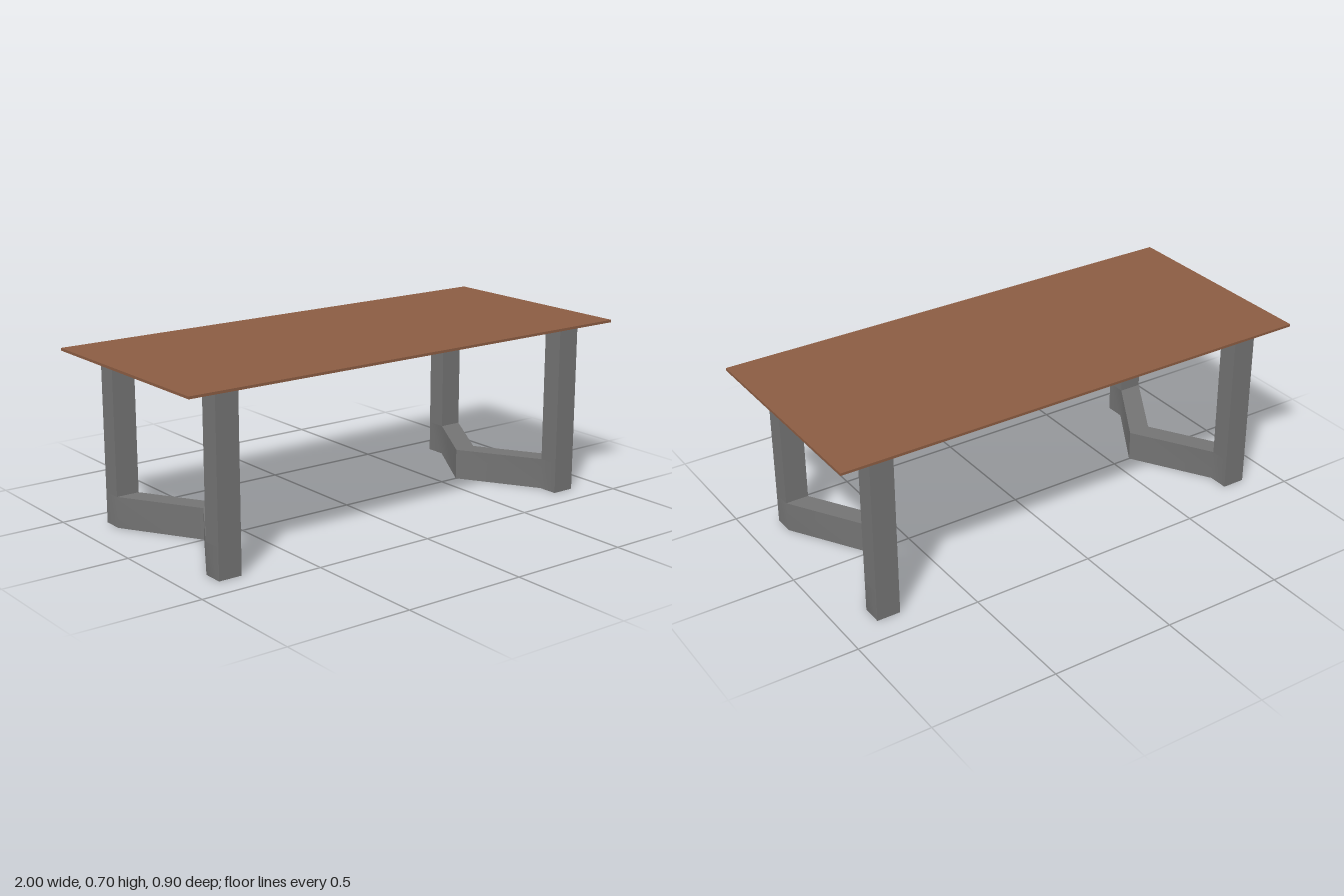
import * as THREE from 'three';
import { toCreasedNormals } from 'three/addons/utils/BufferGeometryUtils.js';

const wood = new THREE.MeshStandardMaterial({ color: 0x8b5c42 });
wood.name = 'brown wood';
const metal = new THREE.MeshStandardMaterial({ color: 0x737373 });
metal.name = 'grey metal';

const OUT = 0.863, IN = 0.768;          // outer and inner x of the posts
const Z_OUT = 0.395, Z_IN = 0.313;      // outer and inner z of the posts
const BEND = 0.19;                      // how far the foot beam bends inward
const BEAM_H = 0.125, TOP_Y = 0.692, TOP_T = 0.01;

function box(name, material, x0, x1, y0, y1, z0, z1) {
  const mesh = new THREE.Mesh(new THREE.BoxGeometry(x1 - x0, y1 - y0, z1 - z0), material);
  mesh.position.set((x0 + x1) / 2, (y0 + y1) / 2, (z0 + z1) / 2);
  mesh.name = name;
  return mesh;
}

function createLegFrame(name) {
  const frame = new THREE.Group();
  frame.name = name;

  // Chevron foot beam, drawn in plan and extruded upward
  const plan = new THREE.Shape([
    [OUT, -Z_OUT], [OUT, -Z_IN], [OUT - BEND, 0], [OUT, Z_IN], [OUT, Z_OUT],
    [IN, Z_OUT], [IN, Z_IN], [IN - BEND, 0], [IN, -Z_IN], [IN, -Z_OUT],
  ].map(([x, z]) => new THREE.Vector2(x, z)));
  const geometry = new THREE.ExtrudeGeometry(plan, { depth: BEAM_H, bevelEnabled: false });
  geometry.rotateX(-Math.PI / 2);
  const beam = new THREE.Mesh(toCreasedNormals(geometry, 0.7), metal);
  beam.name = 'footBeam';
  frame.add(beam);

  // Posts standing on the beam ends
  frame.add(box('frontPost', metal, IN, OUT, BEAM_H, TOP_Y, Z_IN, Z_OUT));
  frame.add(box('backPost', metal, IN, OUT, BEAM_H, TOP_Y, -Z_OUT, -Z_IN));
  return frame;
}

export function createModel() {
  const table = new THREE.Group();
  table.name = 'table';
  table.add(box('tableTop', wood, -1, 1, TOP_Y, TOP_Y + TOP_T, -0.448, 0.448));

  const left = createLegFrame('leftLegFrame');
  const right = createLegFrame('rightLegFrame');
  right.rotation.y = Math.PI;
  table.add(left, right);
  return table;
}
